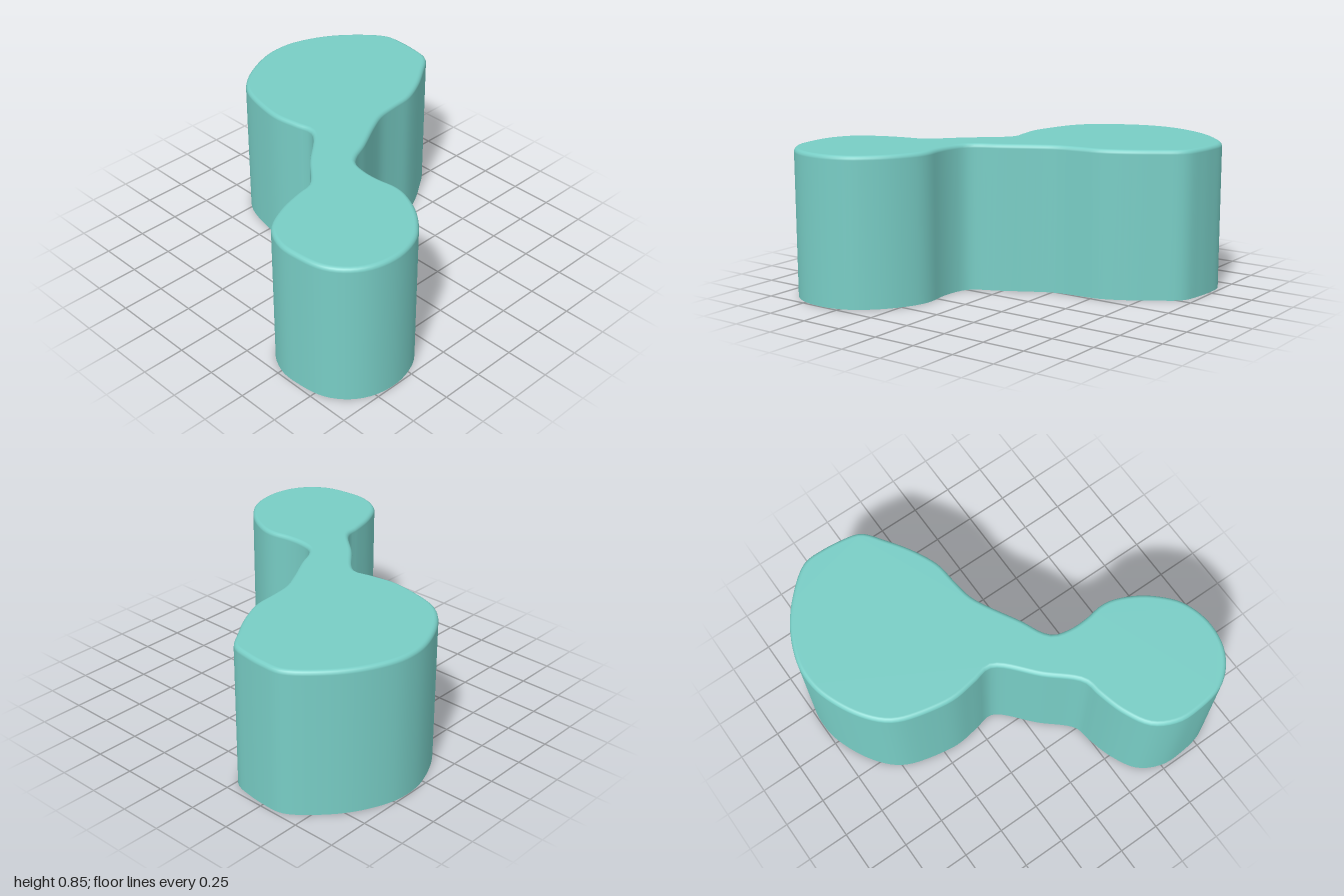
import * as THREE from 'three';

// Plan outline as x, z pairs, clockwise seen from above
const OUTLINE = [
  -0.14, -0.14, -0.155, -0.25, -0.175, -0.39, -0.165, -0.5, -0.11, -0.71, -0.05, -0.8, 0.08, -0.9,
  0.27, -0.98, 0.4, -0.995, 0.51, -0.98, 0.68, -0.91, 0.83, -0.8, 0.97, -0.63, 0.98, -0.5,
  0.97, -0.39, 0.94, -0.275, 0.82, -0.18, 0.68, -0.09, 0.53, -0.025, 0.4, -0.01, 0.27, 0.01,
  0.16, 0.06, -0.02, 0.16, -0.13, 0.21, -0.18, 0.255, -0.205, 0.35, -0.205, 0.455, -0.19, 0.56,
  -0.2, 0.64, -0.26, 0.77, -0.34, 0.87, -0.44, 0.95, -0.6, 0.995, -0.76, 0.975, -0.87, 0.91,
  -0.95, 0.8, -0.98, 0.64, -0.975, 0.51, -0.905, 0.375, -0.76, 0.29, -0.6, 0.245, -0.5, 0.225,
  -0.34, 0.06,
];
const HEIGHT = 0.85, BEVEL = 0.025, SEGMENTS = 180, ARC_STEPS = 4;

export function createModel() {
  const group = new THREE.Group();
  group.name = 'twoLobedCover';
  const material = new THREE.MeshStandardMaterial({ color: 0x78cdc5, side: THREE.DoubleSide });

  const corners = [];
  for (let i = 0; i < OUTLINE.length; i += 2) {
    corners.push(new THREE.Vector3(OUTLINE[i], 0, OUTLINE[i + 1]));
  }
  const curve = new THREE.CatmullRomCurve3(corners, true, 'centripetal');
  const points = curve.getSpacedPoints(SEGMENTS).slice(0, SEGMENTS);
  const outward = points.map((p, i) => {
    const t = points[(i + 1) % SEGMENTS].clone().sub(points[(i + SEGMENTS - 1) % SEGMENTS]);
    return new THREE.Vector3(t.z, 0, -t.x).normalize();
  });
  const ring = (inset) => points.map((p, i) => p.clone().addScaledVector(outward[i], -inset));

  // Side wall: upright skirt, open below, rolling over into the top edge
  const profile = [[0, 0]];
  for (let k = 0; k <= ARC_STEPS; k++) {
    const a = (k / ARC_STEPS) * Math.PI / 2;
    profile.push([BEVEL * (1 - Math.cos(a)), HEIGHT - BEVEL + BEVEL * Math.sin(a)]);
  }
  const positions = [], normals = [], indices = [];
  profile.forEach(([inset, y], row) => {
    const a = (Math.max(row - 1, 0) / ARC_STEPS) * Math.PI / 2;
    ring(inset).forEach((p, i) => {
      positions.push(p.x, y, p.z);
      normals.push(outward[i].x * Math.cos(a), Math.sin(a), outward[i].z * Math.cos(a));
      if (row === 0) return;
      const j = (i + 1) % SEGMENTS, low = (row - 1) * SEGMENTS, high = row * SEGMENTS;
      indices.push(low + i, high + i, low + j, low + j, high + i, high + j);
    });
  });
  const wallGeometry = new THREE.BufferGeometry();
  wallGeometry.setAttribute('position', new THREE.Float32BufferAttribute(positions, 3));
  wallGeometry.setAttribute('normal', new THREE.Float32BufferAttribute(normals, 3));
  wallGeometry.setIndex(indices);
  const wall = new THREE.Mesh(wallGeometry, material);
  wall.name = 'sideWall';
  group.add(wall);

  // Flat top panel meeting the rolled edge
  const shape = new THREE.Shape(ring(BEVEL).map((p) => new THREE.Vector2(p.x, -p.z)));
  const top = new THREE.Mesh(new THREE.ShapeGeometry(shape).rotateX(-Math.PI / 2), material);
  top.position.y = HEIGHT;
  top.name = 'topPanel';
  group.add(top);

  return group;
}
